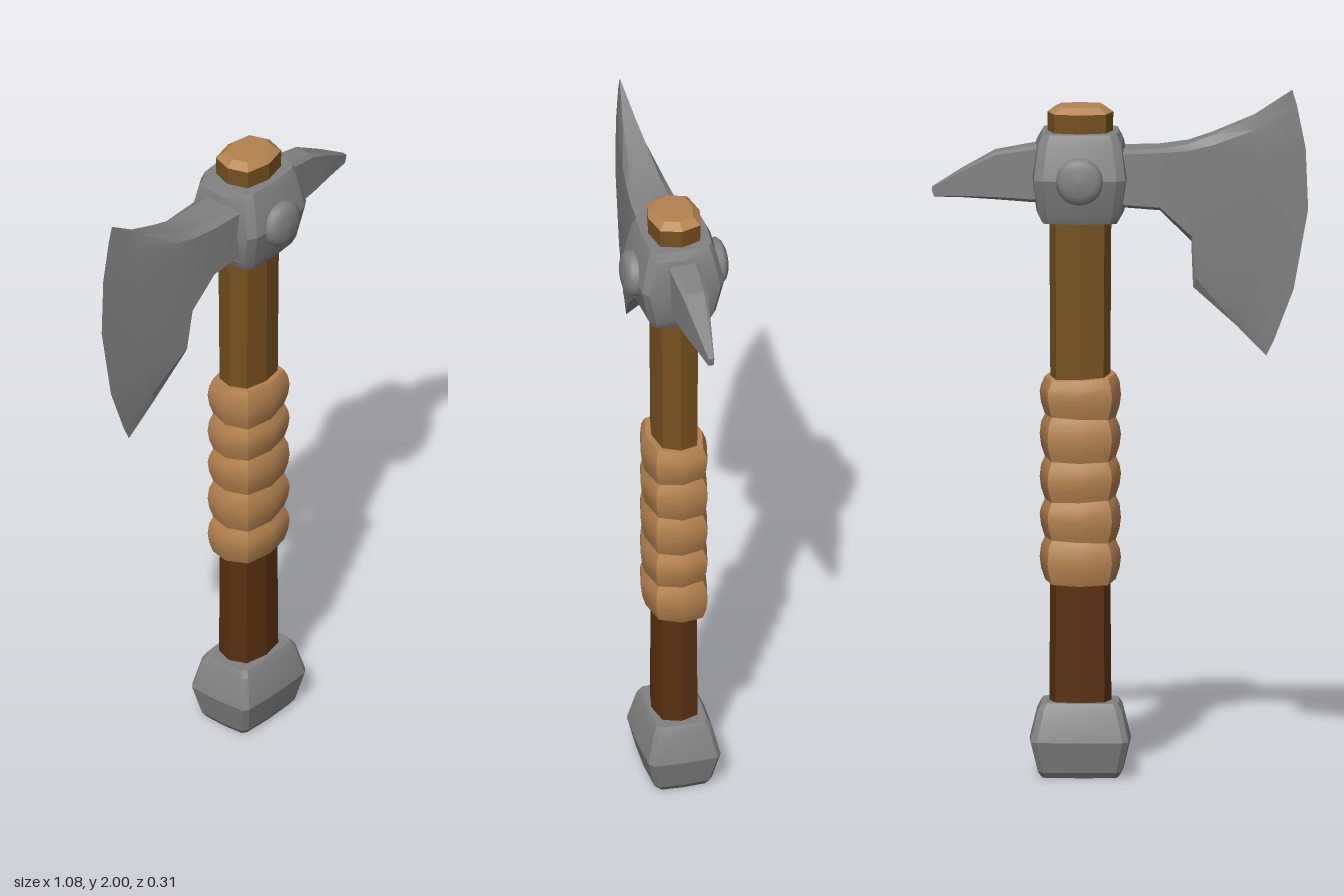
import * as THREE from 'three';
import { toCreasedNormals } from 'three/addons/utils/BufferGeometryUtils.js';

const CX = 0.11; // handle axis

const material = (name, color) => {
  const m = new THREE.MeshStandardMaterial({ color });
  m.name = name;
  return m;
};

// Skin a list of equal-length rings, each running counter-clockwise about the stacking direction
function loft(rings, crease = 0.35) {
  const n = rings[0].length, pos = rings.flat(2), idx = [];
  for (let i = 0; i < rings.length - 1; i++) {
    for (let j = 0; j < n; j++) {
      const a = i * n + j, b = i * n + (j + 1) % n;
      idx.push(a, b, b + n, a, b + n, a + n);
    }
  }
  const last = (rings.length - 1) * n;
  for (let j = 1; j < n - 1; j++) {
    idx.push(0, j + 1, j, last, last + j, last + j + 1);
  }
  const g = new THREE.BufferGeometry();
  g.setAttribute('position', new THREE.Float32BufferAttribute(pos, 3));
  g.setIndex(idx);
  return toCreasedNormals(g, crease);
}

// Eight-sided oval of the wooden shaft; tilt slants the ring
const OVAL = [[1, 0], [0.79, -0.78], [0, -1], [-0.79, -0.78], [-1, 0], [-0.79, 0.78], [0, 1], [0.79, 0.78]];
const oval = (y, rx, rz, tiltX = 0, tiltZ = 0) =>
  OVAL.map(([x, z]) => [CX + x * rx, y + x * rx * tiltX + z * rz * tiltZ, z * rz]);

// Rectangle with cut corners and slightly bowed sides
function block(y, hx, hz, cut, bow) {
  const corners = [[hx, 0], [hx - bow, -hz + cut], [hx - bow - cut, -hz + bow], [0, -hz]];
  const half = [...corners, [-hx + bow + cut, -hz + bow], [-hx + bow, -hz + cut]];
  return [...half, ...half.map(([x, z]) => [-x, -z])].map(([x, z]) => [CX + x, y, z]);
}

// Bladed form along x. Station: [topX, topY, bottomX, bottomY, halfThickness, bulge]
function bladeForm(stations, dir) {
  const fr = [0, 0.06, 0.22, 0.45, 0.75, 0.94, 1];
  return loft(stations.map(([tx, ty, bx, by, t, bulge]) => {
    const side = s => fr.map(f => [
      tx + (bx - tx) * f + dir * bulge * 4 * f * (1 - f),
      ty + (by - ty) * f,
      s * t * (f === 0 || f === 1 ? 0.7 : 1),
    ]);
    return [...side(dir), ...side(-dir).reverse()];
  }), 0.3);
}

export function createModel() {
  const group = new THREE.Group();
  group.name = 'axe';
  const steel = material('steel', 0x828282);
  const wood = material('wood', 0x75501f);
  const darkWood = material('dark wood', 0x59300f);
  const leather = material('leather', 0xb4834f);

  const add = (name, geometry, mat) => {
    const mesh = new THREE.Mesh(geometry, mat);
    mesh.name = name;
    group.add(mesh);
    return mesh;
  };

  // Shaft
  add('lowerHandle', loft([oval(0.15, 0.09, 0.067), oval(0.62, 0.086, 0.065)]), darkWood);
  add('upperHandle', loft([oval(1.1, 0.086, 0.066), oval(1.6, 0.089, 0.07), oval(1.935, 0.095, 0.077)]), wood);
  add('handleTop', loft([oval(1.935, 0.095, 0.077), oval(1.953, 0.07, 0.055)]), leather);

  // Leather grip of five swollen, slightly slanted turns
  const turns = 5, y0 = 0.572, step = (1.168 - y0) / turns;
  for (let i = 0; i < turns; i++) {
    const y = y0 + i * step;
    const tilt = k => [0.05 * Math.sin(k * 2.1), 0.06 + 0.06 * Math.cos(k * 2.3)];
    const [a, b] = [tilt(i), tilt(i + 1)];
    add('gripTurn' + (i + 1), loft([
      oval(y, 0.102, 0.084, ...a),
      oval(y + step * 0.28, 0.113, 0.094, ...a),
      oval(y + step * 0.55, 0.117, 0.098, ...a),
      oval(y + step * 0.8, 0.113, 0.094, ...b),
      oval(y + step, 0.102, 0.084, ...b),
    ], 0.75), leather);
  }

  // Pommel
  add('pommel', loft([
    block(0.003, 0.112, 0.078, 0.014, 0.004),
    block(0.02, 0.124, 0.09, 0.016, 0.004),
    block(0.11, 0.146, 0.112, 0.018, 0.005),
    block(0.2, 0.124, 0.09, 0.016, 0.004),
    block(0.22, 0.112, 0.078, 0.014, 0.004),
  ]), steel);

  // Collar around the shaft
  add('collar', loft([
    block(1.62, 0.112, 0.096, 0.02, 0.006),
    block(1.645, 0.126, 0.108, 0.024, 0.008),
    block(1.75, 0.141, 0.131, 0.026, 0.009),
    block(1.855, 0.126, 0.108, 0.024, 0.008),
    block(1.88, 0.112, 0.096, 0.02, 0.006),
  ]), steel);

  // Round bosses, front and back
  const bossProfile = [[0.068, 0], [0.068, 0.034], [0.058, 0.045], [0.04, 0.053], [0, 0.057]]
    .map(p => new THREE.Vector2(...p));
  for (const s of [1, -1]) {
    const boss = add(s > 0 ? 'frontBoss' : 'backBoss', new THREE.LatheGeometry(bossProfile, 20), steel);
    boss.rotation.x = s * Math.PI / 2;
    boss.position.set(CX, 1.75, s * 0.1);
  }

  // Bearded blade
  add('blade', bladeForm([
    [0.03, 1.83, 0.03, 1.667, 0.072, 0],
    [-0.12, 1.835, -0.12, 1.655, 0.066, 0],
    [-0.2, 1.847, -0.21, 1.565, 0.059, 0.005],
    [-0.27, 1.872, -0.215, 1.43, 0.05, 0.025],
    [-0.39, 1.925, -0.34, 1.315, 0.028, 0.05],
    [-0.5, 2.0, -0.425, 1.225, 0.001, 0.08],
  ], -1), steel);

  // Rear spike
  add('spike', bladeForm([
    [0.2, 1.848, 0.2, 1.672, 0.048, 0],
    [0.355, 1.82, 0.355, 1.682, 0.037, 0],
    [0.45, 1.768, 0.45, 1.686, 0.022, 0],
    [0.537, 1.714, 0.53, 1.686, 0.008, 0.002],
  ], 1), steel);

  return group;
}
